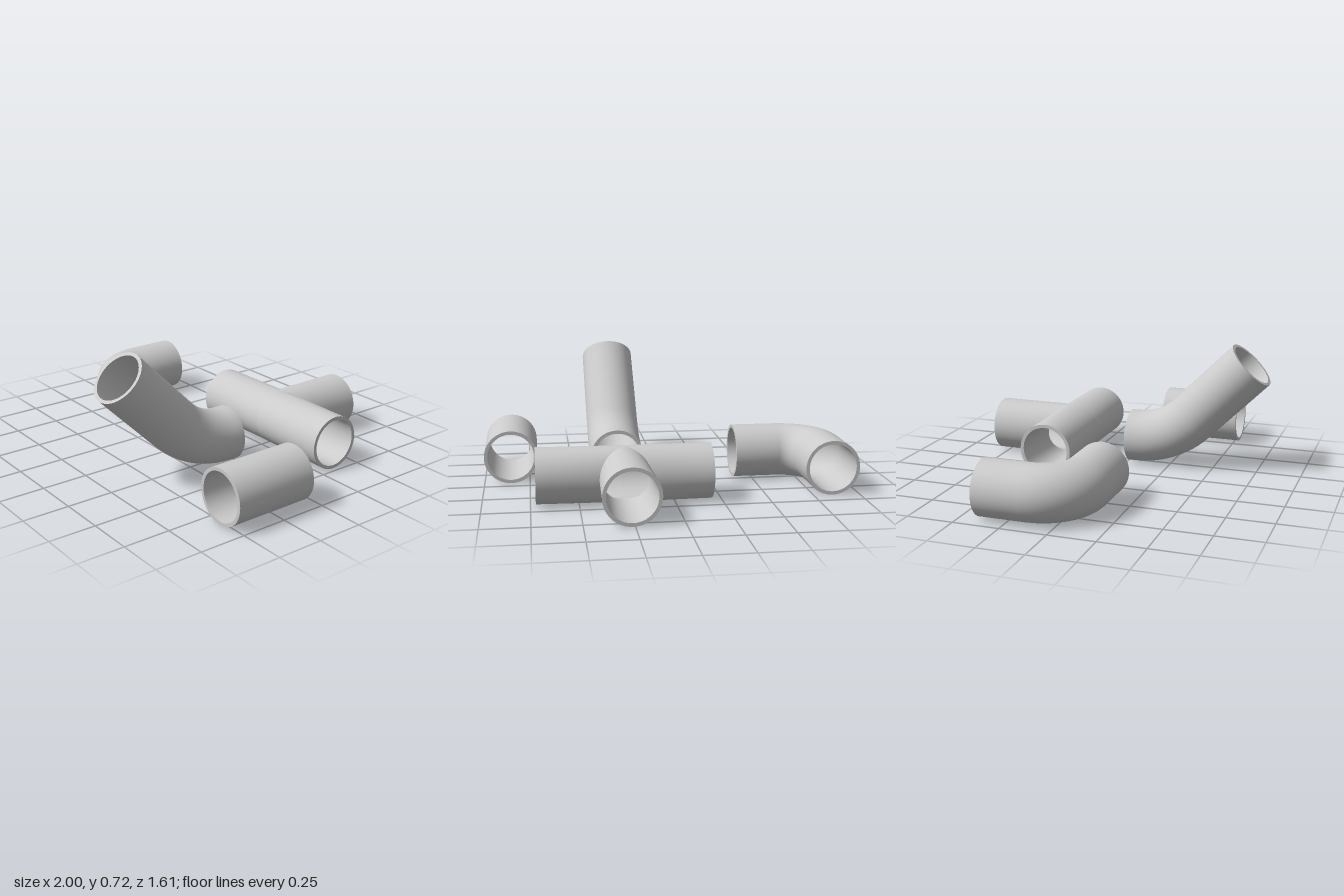
import * as THREE from 'three';
import { mergeGeometries } from 'three/addons/utils/BufferGeometryUtils.js';

const OUTER = 0.1475, INNER = 0.129, SIDES = 48;
const V = (x, y, z) => new THREE.Vector3(x, y, z);
const material = new THREE.MeshStandardMaterial({ color: 0xcccccc });

// A ring of points given by a rule of the angle
const ring = (rule) => Array.from({ length: SIDES }, (_, j) => rule((j / SIDES) * Math.PI * 2));

// Smooth skin through closed rings
function skin(rings) {
  const index = [];
  for (let i = 0; i < rings.length - 1; i++) {
    for (let j = 0; j < SIDES; j++) {
      const k = (j + 1) % SIDES;
      const a = i * SIDES + j, b = i * SIDES + k;
      index.push(a, b, a + SIDES, b, b + SIDES, a + SIDES);
    }
  }
  const geometry = new THREE.BufferGeometry().setFromPoints(rings.flat());
  geometry.setIndex(index);
  geometry.computeVertexNormals();
  return geometry;
}

// Hollow wall from matching outer and inner rings, with flat rims where asked
function wall(outer, inner, startRim = true, endRim = true) {
  const parts = [skin(outer), skin([...inner].reverse())];
  if (startRim) parts.push(skin([inner[0], outer[0]]));
  if (endRim) parts.push(skin([outer.at(-1), inner.at(-1)]));
  return mergeGeometries(parts);
}

// Pipe swept along planar stations; side is the normal of that plane
function sweptPipe(stations, side) {
  const rings = (r) => stations.map(({ p, t }) => {
    const n = side.clone().cross(t);
    return ring((a) => p.clone().addScaledVector(n, r * Math.cos(a)).addScaledVector(side, r * Math.sin(a)));
  });
  return wall(rings(OUTER), rings(INNER));
}

// Stations: straight start, arc of the given radius, straight end
function bendStations(start, corner, end, radius, steps) {
  const t0 = corner.clone().sub(start).normalize();
  const t1 = end.clone().sub(corner).normalize();
  const angle = t0.angleTo(t1);
  const from = corner.clone().addScaledVector(t0, -radius * Math.tan(angle / 2));
  const toCentre = t1.clone().addScaledVector(t0, -t0.dot(t1)).normalize();
  const stations = [{ p: start, t: t0 }];
  for (let i = 0; i <= steps; i++) {
    const a = (angle * i) / steps;
    stations.push({
      p: from.clone().addScaledVector(t0, radius * Math.sin(a)).addScaledVector(toCentre, radius * (1 - Math.cos(a))),
      t: t0.clone().multiplyScalar(Math.cos(a)).addScaledVector(toCentre, Math.sin(a)),
    });
  }
  stations.push({ p: end, t: t1 });
  return stations;
}

// Rings blended between two end rings
function blend(first, last, steps = 8) {
  return Array.from({ length: steps + 1 }, (_, i) =>
    first.map((p, j) => p.clone().lerp(last[j], i / steps)));
}

// Tee centred on its own axis crossing, branch towards -z
function teePieces() {
  const reach = 0.46, lift = 0.02;
  const seamX = (r) => r * 0.92, seamZ = (r) => r * 0.94 - lift;
  const runEnd = (r, s) => ring((a) => V(s * reach, r * Math.sin(a), -r * Math.cos(a)));
  // Mitred towards the branch at the back, square at the front
  const runSeam = (r, s) => ring((a) => {
    const c = Math.cos(a);
    return c > 0
      ? V(s * seamX(r) * c, r * Math.sin(a), -lift - seamZ(r) * c)
      : V(0, r * Math.sin(a), -lift - (r + lift) * c);
  });
  const right = (r) => blend(runSeam(r, 1), runEnd(r, 1));
  const left = (r) => blend(runEnd(r, -1), runSeam(r, -1));
  const branch = (r) => blend(
    ring((a) => V(seamX(r) * Math.cos(a), -r * Math.sin(a), -lift - seamZ(r) * Math.abs(Math.cos(a)))),
    ring((a) => V(r * Math.cos(a), -r * Math.sin(a), -reach)));
  return {
    teeRunLeft: wall(right(OUTER), right(INNER), false, true),
    teeRunRight: wall(left(OUTER), left(INNER), true, false),
    teeBranch: wall(branch(OUTER), branch(INNER), false, true),
  };
}

export function createModel() {
  const model = new THREE.Group();
  model.name = 'pipeFittings';
  const add = (name, geometry, parent = model) => {
    const mesh = new THREE.Mesh(geometry, material);
    mesh.name = name;
    parent.add(mesh);
  };
  const y = OUTER;

  // Straight coupling
  const forward = V(0, 0, 1);
  add('straightCoupling', sweptPipe([
    { p: V(0.8525, y, 0.062), t: forward },
    { p: V(0.8525, y, 0.525), t: forward },
  ], V(0, 1, 0)));

  // Right-angle elbow lying flat
  add('rightAngleElbow', sweptPipe(
    bendStations(V(-0.8525, y, -0.4), V(-0.8525, y, 0.063), V(-0.395, y, 0.063), 0.213, 10),
    V(0, 1, 0)));

  // Half-angle elbow rising to the front
  add('risingElbow', sweptPipe(
    bendStations(V(0.264, y, 0.007), V(0.264, y, 0.2365), V(0.264, 0.612, 0.701), 0.455, 12),
    V(1, 0, 0)));

  // Tee
  const tee = new THREE.Group();
  tee.name = 'tee';
  tee.position.set(0.263, y, -0.347);
  for (const [name, geometry] of Object.entries(teePieces())) add(name, geometry, tee);
  model.add(tee);

  return model;
}
